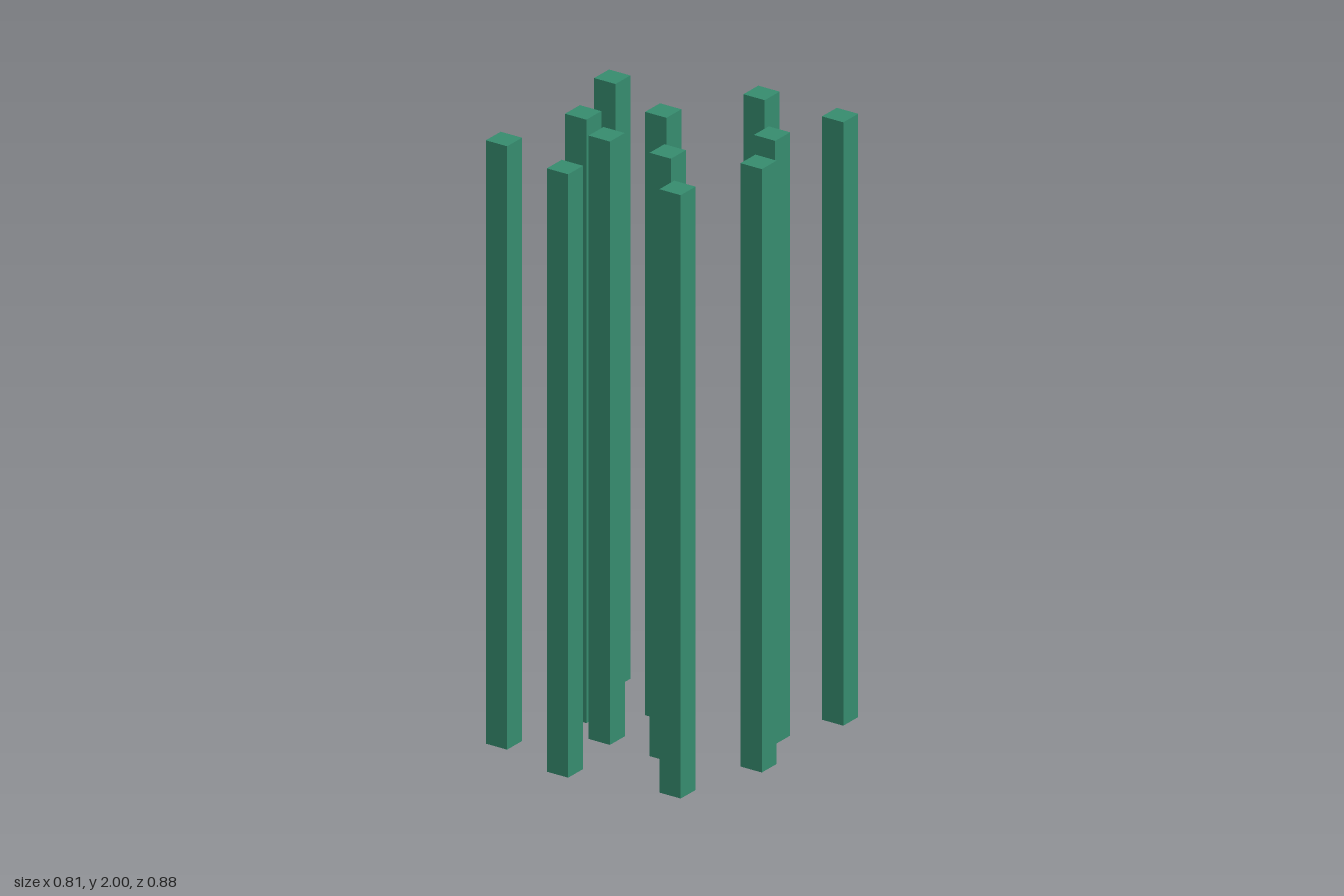
import * as THREE from 'three';

// Twelve tall square posts, scattered over the ground plan
const SIZE = 0.079;
const HEIGHT = 2;
const POSITIONS = [ // [x, z]
  [0.075, -0.4], [0.366, -0.4],
  [-0.366, -0.24], [0.277, -0.167], [-0.093, -0.12],
  [-0.284, 0.031], [0.366, 0.031],
  [-0.131, 0.125], [0.095, 0.125],
  [-0.366, 0.333], [0.277, 0.333], [-0.093, 0.4],
];

export function createModel() {
  const model = new THREE.Group();
  model.name = 'postCluster';

  const green = new THREE.MeshStandardMaterial({ color: 0x368b6e });
  green.name = 'green';

  const geometry = new THREE.BoxGeometry(SIZE, HEIGHT, SIZE);
  POSITIONS.forEach(([x, z], i) => {
    const post = new THREE.Mesh(geometry, green);
    post.name = `post${i + 1}`;
    post.position.set(x, HEIGHT / 2, z);
    model.add(post);
  });

  return model;
}
